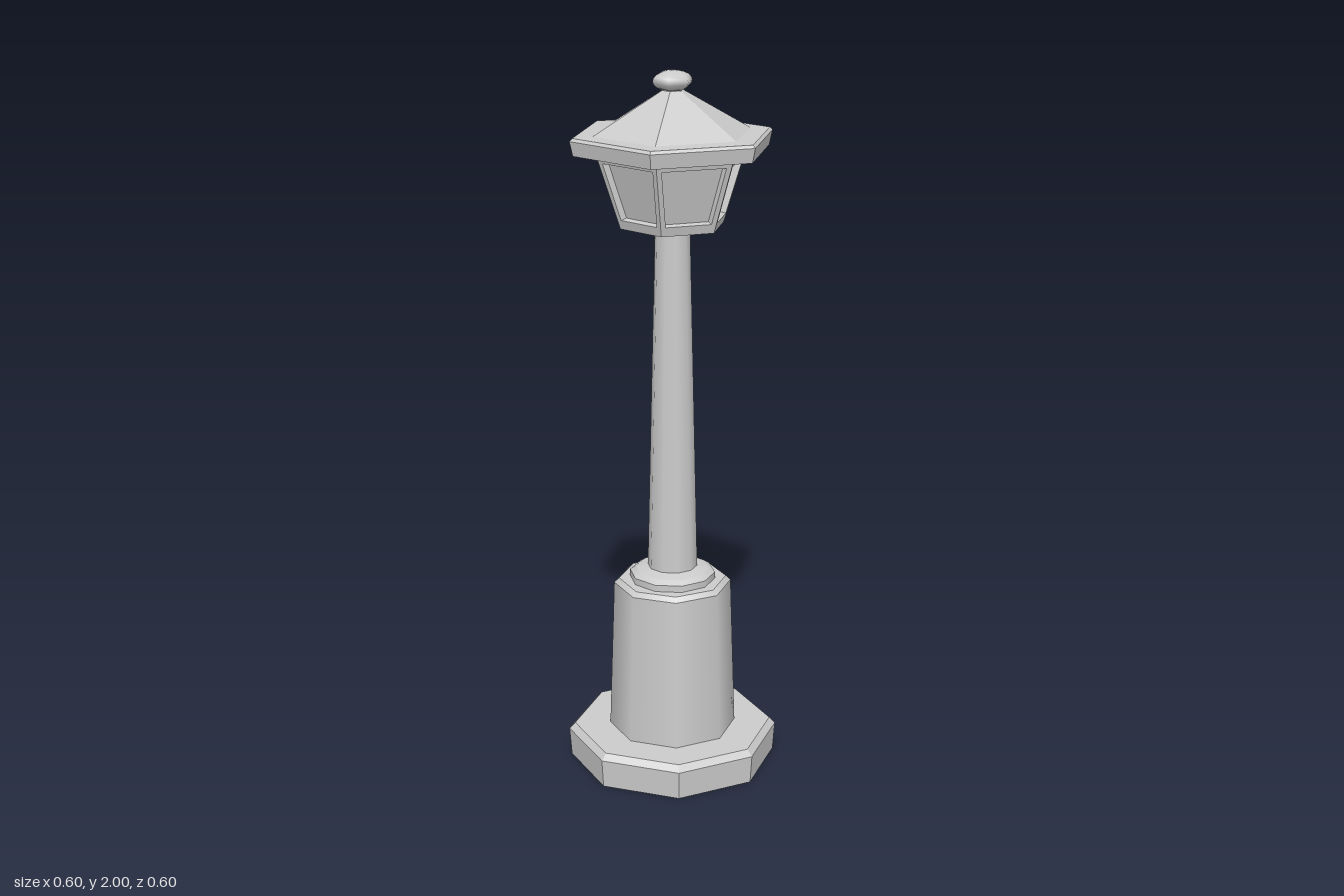
import * as THREE from 'three';
import { mergeGeometries } from 'three/addons/utils/BufferGeometryUtils.js';

const smooth = new THREE.MeshStandardMaterial({ color: 0xcccccc, side: THREE.DoubleSide });
const flat = new THREE.MeshStandardMaterial({ color: 0xcccccc, side: THREE.DoubleSide, flatShading: true });

// Turned part: profile [radius, y] from bottom to top, sharp at each profile
// point, with one corner on the x axis
function turned(name, sides, profile, material) {
  const bands = [];
  for (let i = 0; i < profile.length - 1; i++) {
    const pts = [profile[i], profile[i + 1]].map(([r, y]) => new THREE.Vector2(r, y));
    bands.push(new THREE.LatheGeometry(pts, sides, Math.PI / 2));
  }
  const mesh = new THREE.Mesh(mergeGeometries(bands), material);
  mesh.name = name;
  return mesh;
}

// One lantern side facing +z: frame border, jambs and recessed pane,
// made by joining nested four-cornered loops
function lanternSide(rBottom, rTop, yBottom, yTop) {
  const apothem = Math.cos(Math.PI / 6);
  const loop = (side, bottom, top, depth) => {
    const corner = (s, y) => {
      const r = THREE.MathUtils.mapLinear(y, yBottom, yTop, rBottom, rTop);
      return [s * (r / 2 - side), y, r * apothem - depth];
    };
    const y0 = yBottom + bottom, y1 = yTop - top;
    return [corner(-1, y0), corner(1, y0), corner(1, y1), corner(-1, y1)];
  };
  const loops = [loop(0, 0, 0, 0), loop(0.014, 0.026, 0.024, 0), loop(0.017, 0.03, 0.026, 0.02)];
  const pos = [];
  const quad = (a, b, c, d) => pos.push(...a, ...b, ...c, ...a, ...c, ...d);
  for (let l = 0; l < 2; l++) {
    for (let i = 0; i < 4; i++) {
      const j = (i + 1) % 4;
      quad(loops[l][i], loops[l][j], loops[l + 1][j], loops[l + 1][i]);
    }
  }
  quad(...loops[2]);
  const geo = new THREE.BufferGeometry();
  geo.setAttribute('position', new THREE.Float32BufferAttribute(pos, 3));
  geo.computeVertexNormals();
  return geo;
}

export function createModel() {
  const model = new THREE.Group();
  model.name = 'streetLamp';

  // Octagonal foot, hollow underneath
  model.add(turned('foot', 8, [[0.296, 0], [0.302, 0.082], [0.285, 0.1], [0, 0.1]], flat));

  // Plinth, collar and tapering pole
  model.add(turned('plinth', 8, [[0.182, 0.1], [0.167, 0.54], [0.153, 0.553], [0, 0.553]], smooth));
  model.add(turned('collar', 10, [[0.122, 0.55], [0.122, 0.572], [0.105, 0.583], [0.068, 0.592]], smooth));
  model.add(turned('pole', 10, [[0.071, 0.58], [0.048, 1.58]], smooth));

  // Six-sided lantern
  const lantern = new THREE.Group();
  lantern.name = 'lantern';
  const side = lanternSide(0.148, 0.215, 1.58, 1.787);
  for (let i = 0; i < 6; i++) {
    const panel = new THREE.Mesh(side, flat);
    panel.name = 'lanternPanel';
    panel.rotation.y = i * Math.PI / 3;
    lantern.add(panel);
  }
  lantern.add(turned('lanternFloor', 6, [[0, 1.58], [0.148, 1.58]], flat));
  model.add(lantern);

  // Roof with a wide brim
  model.add(turned('roof', 6, [
    [0, 1.785], [0.278, 1.785], [0.287, 1.825], [0.279, 1.833], [0.222, 1.835], [0.03, 1.947], [0, 1.947],
  ], flat));

  // Flattened knob on top
  const finial = new THREE.Mesh(new THREE.SphereGeometry(0.056, 6, 10), smooth);
  finial.name = 'finial';
  finial.scale.y = 0.5;
  finial.position.y = 1.972;
  model.add(finial);

  return model;
}
